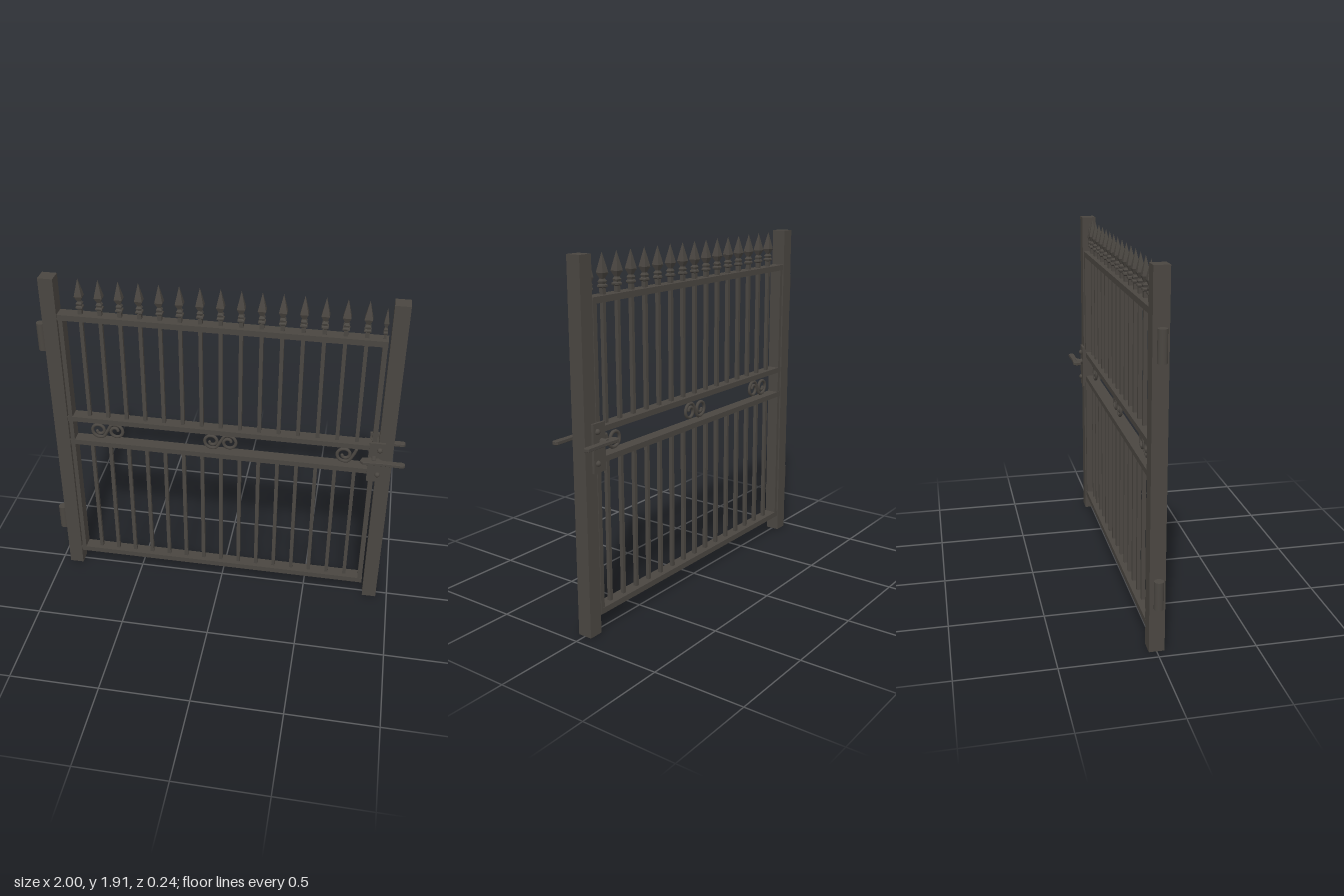
import * as THREE from 'three';

export function createModel() {
  const gate = new THREE.Group();
  gate.name = 'gate';
  const iron = new THREE.MeshStandardMaterial({ color: 0x4a4641 });
  iron.name = 'darkIron';

  const add = (name, geometry, x = 0, y = 0, z = 0, parent = gate) => {
    const mesh = new THREE.Mesh(geometry, iron);
    mesh.name = name;
    mesh.position.set(x, y, z);
    parent.add(mesh);
    return mesh;
  };
  // Box given by its x and y limits and its half depth
  const bar = (name, x0, x1, y0, y1, hz) =>
    add(name, new THREE.BoxGeometry(x1 - x0, y1 - y0, hz * 2), (x0 + x1) / 2, (y0 + y1) / 2, 0);

  // Posts
  bar('hingePost', -0.95, -0.87, 0, 1.915, 0.04);
  bar('latchPost', 0.855, 0.935, 0, 1.915, 0.04);

  // Barrel hinges with their leaves
  for (const [y0, y1] of [[0.25, 0.4], [1.48, 1.64]]) {
    add('hingeBarrel', new THREE.CylinderGeometry(0.024, 0.024, y1 - y0, 20), -0.976, (y0 + y1) / 2, 0);
    bar('hingeLeaf', -0.976, -0.945, y0 + 0.015, y1 - 0.015, 0.012);
  }

  // Frame: rails and stiles
  for (const [name, y0, y1] of [
    ['bottomRail', 0.093, 0.125], ['lowerMiddleRail', 0.895, 0.925],
    ['upperMiddleRail', 1.05, 1.08], ['topRail', 1.68, 1.712],
  ]) bar(name, -0.872, 0.845, y0, y1, 0.035);
  bar('hingeStile', -0.865, -0.842, 0.1, 1.705, 0.034);
  bar('latchStile', 0.818, 0.844, 0.1, 1.705, 0.034);

  // Square spear finial: four-sided lathe turned to face the front
  const profile = [[0, 0], [0.011, 0], [0.011, 0.032], [0.018, 0.038], [0.018, 0.046], [0.012, 0.052],
    [0.016, 0.064], [0.009, 0.076], [0.021, 0.105], [0.017, 0.125], [0, 0.203]];
  const spear = new THREE.LatheGeometry(
    profile.map(([r, y]) => new THREE.Vector2(r * Math.SQRT2, y)), 4, Math.PI / 4).toNonIndexed();
  spear.computeVertexNormals();

  // Pickets above and below the scroll band
  for (let i = 0; i < 15; i++) {
    const x = -0.75 + i * 0.1062;
    bar('lowerPicket', x - 0.01, x + 0.01, 0.12, 0.9, 0.01);
    bar('upperPicket', x - 0.01, x + 0.01, 1.075, 1.685, 0.01);
    add('spear', spear, x, 1.71, 0);
  }
  add('endSpear', spear, 0.825, 1.71, 0).scale.set(0.6, 0.86, 0.6);

  // Scrolls: a spiral that sweeps up to the middle and, for a pair, repeats turned round
  const half = [];
  for (let i = 0; i <= 20; i++) {
    const t = i / 20;
    const a = THREE.MathUtils.degToRad(-150 + 450 * t);
    const r = 0.014 + 0.032 * Math.pow(t, 0.7);
    half.push(new THREE.Vector3(-0.048 + r * Math.cos(a), r * Math.sin(a), 0));
  }
  const turned = half.map((p) => new THREE.Vector3(-p.x, -p.y, 0)).reverse();
  const scroll = (name, x, points) => {
    const path = new THREE.CatmullRomCurve3(points);
    add(name, new THREE.TubeGeometry(path, 90, 0.009, 8), x, 0.985, 0);
    for (const p of [points[0], points[points.length - 1]])
      add(name + 'End', new THREE.SphereGeometry(0.009, 8, 6), x + p.x, 0.985 + p.y, 0);
  };
  const middle = new THREE.Vector3(0, 0, 0);
  scroll('leftScroll', -0.655, [...half, middle, ...turned]);
  scroll('middleScroll', -0.01, [...half, middle, ...turned]);
  scroll('rightScroll', 0.725, [...half, middle, new THREE.Vector3(0.014, 0.035, 0)]);

  // Lock body
  bar('lockCase', 0.812, 0.85, 0.88, 1.09, 0.045);

  // Lever outline seen from above: x, then distance from the gate
  const lever = new THREE.Shape([[0.765, 0.1], [0.775, 0.075], [0.81, 0.066], [0.86, 0.07],
    [0.885, 0.087], [0.99, 0.086], [0.998, 0.094], [0.998, 0.108], [0.99, 0.115], [0.88, 0.112],
    [0.78, 0.117]].map(([x, z]) => new THREE.Vector2(x, z)));
  const leverGeometry = new THREE.ExtrudeGeometry(lever, { depth: 0.014, bevelEnabled: true,
    bevelSize: 0.002, bevelThickness: 0.002, bevelSegments: 1 });
  leverGeometry.rotateX(Math.PI / 2);

  // Same lock furniture on both faces
  for (const side of [0, 1]) {
    const s = side ? -1 : 1;
    const furniture = new THREE.Group();
    furniture.name = side ? 'backLock' : 'frontLock';
    gate.add(furniture);
    add('lockPlate', new THREE.BoxGeometry(0.085, 0.25, 0.014), 0.848, 0.987, s * 0.049, furniture);
    for (const y of [0.91, 1.07]) {
      add('bolt', new THREE.SphereGeometry(0.015, 12, 8), 0.863, y, s * 0.056, furniture);
    }
    const spindle = new THREE.CylinderGeometry(0.015, 0.015, 0.05, 16);
    spindle.rotateX(Math.PI / 2);
    add('spindle', spindle, 0.835, 1.018, s * 0.07, furniture);
    const shape = leverGeometry.clone();
    if (side) { // half turn about x puts the lever on the back
      shape.rotateX(Math.PI);
      shape.translate(0, -0.014, 0);
    }
    add('lever', shape, 0, 1.025, 0, furniture);
  }

  return gate;
}
